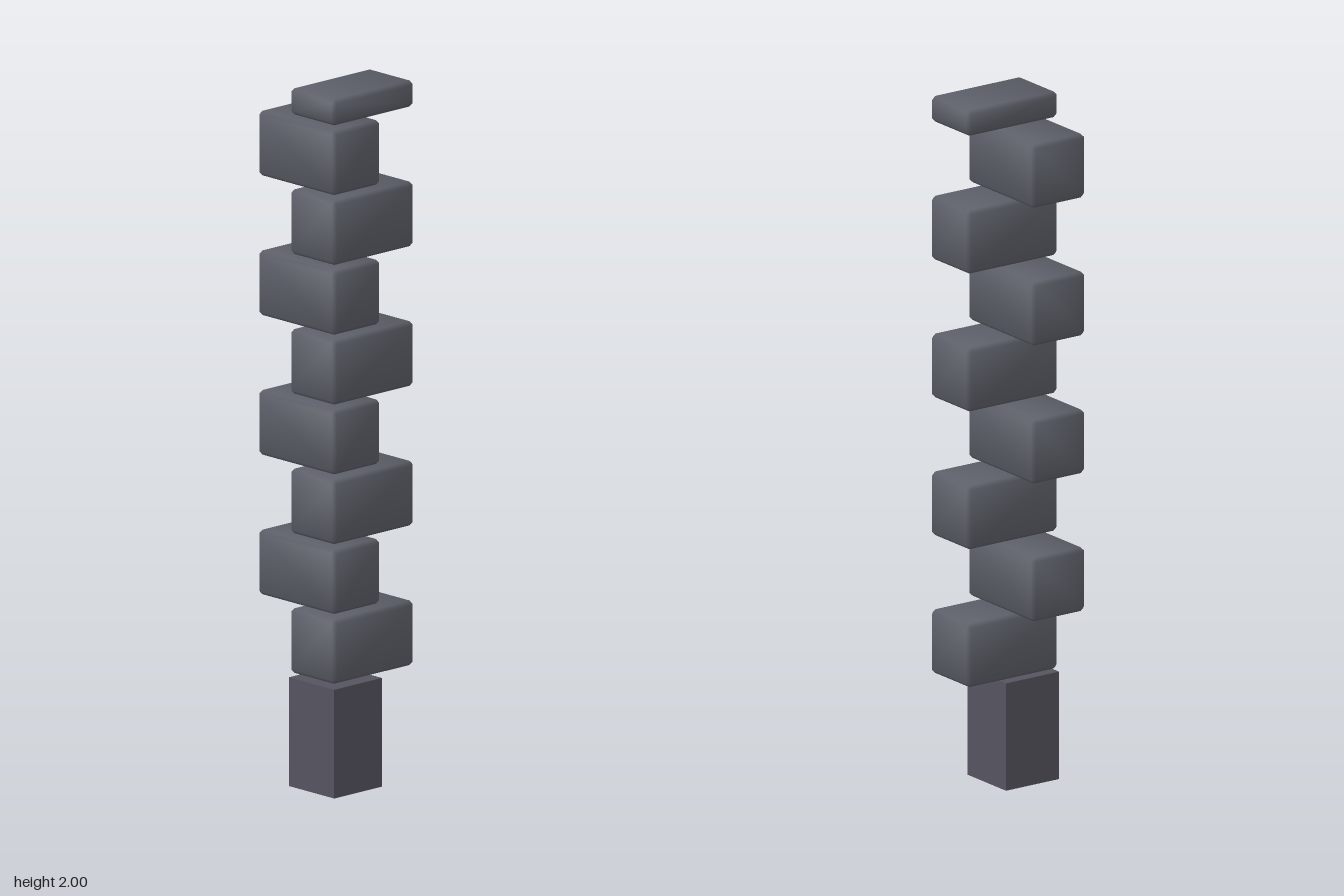
import * as THREE from 'three';
import { mergeVertices } from 'three/addons/utils/BufferGeometryUtils.js';
import { ConvexGeometry } from 'three/addons/geometries/ConvexGeometry.js';

// Box with one flat bevel along every edge and soft shading across it
function bevelledBox(w, h, d, bevel) {
  const half = [w / 2, h / 2, d / 2];
  const points = [];
  for (const sx of [-1, 1]) for (const sy of [-1, 1]) for (const sz of [-1, 1]) {
    for (let face = 0; face < 3; face++) {
      const p = [sx, sy, sz].map((s, i) => s * (half[i] - (i === face ? 0 : bevel)));
      points.push(new THREE.Vector3(...p));
    }
  }
  const hull = new ConvexGeometry(points);
  hull.deleteAttribute('normal');
  const geometry = mergeVertices(hull);
  geometry.computeVertexNormals();
  // Normals lean from each face towards its corners
  const pos = geometry.attributes.position;
  const normal = new THREE.Vector3();
  for (let v = 0; v < pos.count; v++) {
    const p = [pos.getX(v), pos.getY(v), pos.getZ(v)];
    const n = p.map((c, i) => Math.sign(c) * (Math.abs(c) > half[i] - bevel / 2 ? 1 : 0.35));
    normal.set(...n).normalize();
    geometry.attributes.normal.setXYZ(v, normal.x, normal.y, normal.z);
  }
  return geometry;
}

export function createModel() {
  const model = new THREE.Group();
  model.name = 'cornerQuoins';
  const stone = new THREE.MeshStandardMaterial({ color: 0x5c5f68 });
  const plinth = new THREE.MeshStandardMaterial({ color: 0x55535f });

  // Plain square base
  const base = new THREE.Mesh(new THREE.BoxGeometry(0.182, 0.312, 0.182), plinth);
  base.name = 'base';
  base.position.set(-0.067, 0.156, 0.066);
  model.add(base);

  // Alternating stones sharing one corner, the last one a thin cap
  const long = 0.31, short = 0.182, left = -0.153, front = 0.151;
  for (let i = 0; i < 9; i++) {
    const alongX = i % 2 === 0;
    const w = alongX ? long : short;
    const d = alongX ? short : long;
    const bottom = 0.323 + i * 0.2003;
    const h = i === 8 ? 2 - bottom : 0.185;
    const block = new THREE.Mesh(bevelledBox(w, h, d, 0.011), stone);
    block.name = i === 8 ? 'capStone' : `cornerStone${i + 1}`;
    block.position.set(left + w / 2, bottom + h / 2, front - d / 2);
    model.add(block);
  }
  return model;
}
